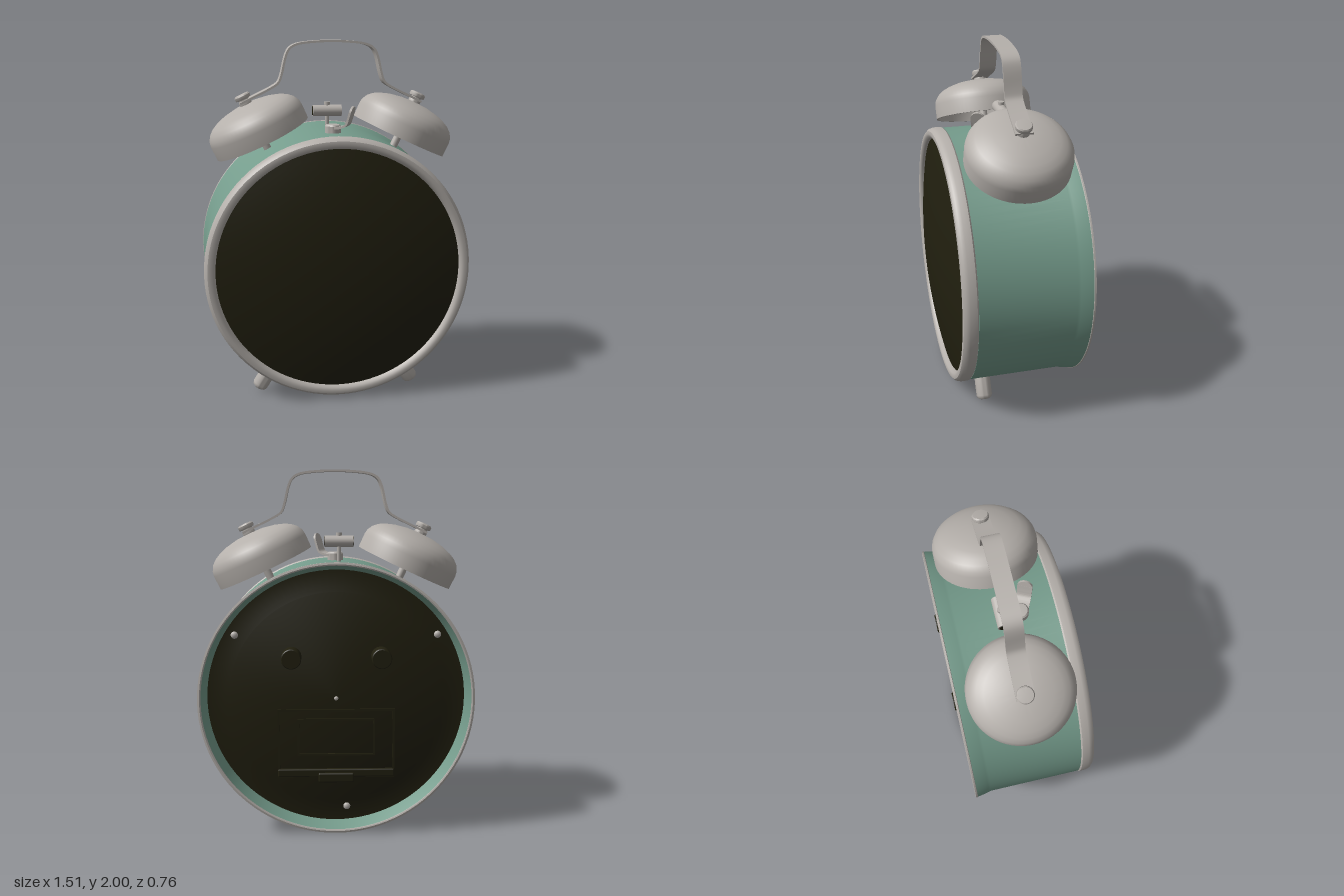
import * as THREE from 'three';
import { toCreasedNormals } from 'three/addons/utils/BufferGeometryUtils.js';
import { RoundedBoxGeometry } from 'three/addons/geometries/RoundedBoxGeometry.js';

const mat = (name, color) => {
  const m = new THREE.MeshStandardMaterial({ color });
  m.name = name;
  return m;
};

export function createModel() {
  const metal = mat('warm grey metal', 0xb5b0ab);
  const green = mat('sage green', 0x759c8c);
  const dark = mat('dark olive', 0x211f0f);
  const CY = 0.757; // height of the case centre
  const BELL_Z = -0.036;

  const root = new THREE.Group();
  root.name = 'alarmClock';

  function add(name, geo, material, parent = root, x = 0, y = 0, z = 0) {
    const m = new THREE.Mesh(geo, material);
    m.name = name;
    m.position.set(x, y, z);
    parent.add(m);
    return m;
  }
  // Lathe from [radius, height] pairs, keeping sharp edges
  function lathe(pts, seg = 48, crease = 0.6) {
    const g = new THREE.LatheGeometry(pts.map(p => new THREE.Vector2(p[0], p[1])), seg);
    return toCreasedNormals(g, crease);
  }
  const latheZ = (pts, seg = 96) => lathe(pts, seg).rotateX(Math.PI / 2);
  const cyl = (r, h, seg = 24) => new THREE.CylinderGeometry(r, r, h, seg);
  // Strip of constant thickness along a side-on path, given a width in z
  function strip(points, thick, width) {
    const curve = new THREE.CatmullRomCurve3(points.map(p => new THREE.Vector3(p[0], p[1], 0)), false, 'centripetal');
    const n = 64, outer = [], inner = [];
    for (let i = 0; i <= n; i++) {
      const p = curve.getPoint(i / n), t = curve.getTangent(i / n);
      outer.push(new THREE.Vector2(p.x - t.y * thick / 2, p.y + t.x * thick / 2));
      inner.unshift(new THREE.Vector2(p.x + t.y * thick / 2, p.y - t.x * thick / 2));
    }
    const g = new THREE.ExtrudeGeometry(new THREE.Shape([...outer, ...inner]), { depth: width, bevelEnabled: false });
    return toCreasedNormals(g.translate(0, 0, -width / 2), 0.6);
  }

  // Case: flared shell, rims, glass and back
  const body = new THREE.Group();
  body.name = 'case';
  body.position.y = CY;
  root.add(body);
  add('shell', latheZ([[0.70, -0.25], [0.713, -0.3], [0.738, -0.368], [0.753, -0.368], [0.75, -0.345],
    [0.74, -0.295], [0.736, -0.28], [0.736, 0.25], [0.66, 0.25]]), green, body);
  add('backRim', latheZ([[0.737, -0.36], [0.737, -0.373], [0.744, -0.376], [0.755, -0.373], [0.755, -0.364], [0.75, -0.36]]), metal, body);
  add('frontBezel', latheZ([[0.69, 0.25], [0.734, 0.25], [0.741, 0.258], [0.741, 0.295], [0.735, 0.315], [0.722, 0.328],
    [0.705, 0.331], [0.69, 0.326], [0.681, 0.315], [0.677, 0.29]]), metal, body);
  const dome = [];
  for (let i = 0; i <= 14; i++) {
    const r = 0.685 * (1 - i / 14);
    dome.push([r, 0.381 - 0.08 * (r / 0.685) ** 2]);
  }
  add('glass', latheZ(dome), dark, body);
  add('backPlate', latheZ([[0, -0.3], [0.59, -0.3], [0.615, -0.29], [0.71, -0.287]]), dark, body);

  // Back controls and fixings
  for (const s of [-1, 1]) {
    add('settingKnob', latheZ([[0, -0.383], [0.05, -0.383], [0.055, -0.377], [0.055, -0.29]].map(p => [p[0], p[1]]), 32),
      dark, body, s * 0.245, 0.235, 0);
  }
  for (const [x, y, r] of [[0.553, 0.356, 0.02], [-0.553, 0.356, 0.02], [-0.06, -0.625, 0.02], [0, 0, 0.012]]) {
    add('screw', new THREE.SphereGeometry(r, 16, 10).scale(1, 1, 0.7), metal, body, x, y, -0.3);
  }
  // Battery door: frame, raised panel, lower ledge and latch
  function frame(w, h, t) {
    const s = new THREE.Shape(), k = new THREE.Path();
    const rect = (p, a, b) => p.moveTo(-a, -b).lineTo(a, -b).lineTo(a, b).lineTo(-a, b).closePath();
    rect(s, w / 2, h / 2);
    rect(k, w / 2 - t, h / 2 - t);
    s.holes.push(k);
    return new THREE.ExtrudeGeometry(s, { depth: 0.012, bevelEnabled: false });
  }
  add('doorFrame', frame(0.65, 0.39, 0.012), dark, body, 0, -0.255, -0.31);
  add('doorPanel', frame(0.43, 0.21, 0.01), dark, body, 0, -0.22, -0.31);
  add('doorLedge', new RoundedBoxGeometry(0.65, 0.045, 0.03, 2, 0.008), dark, body, 0, -0.425, -0.303);
  add('doorLatch', new RoundedBoxGeometry(0.2, 0.055, 0.05, 2, 0.01), dark, body, 0, -0.45, -0.305);

  // Bells with posts and nuts, and feet, mirrored
  const bellGeo = lathe([[0, 0.195], [0.09, 0.19], [0.165, 0.175], [0.225, 0.15], [0.262, 0.115], [0.274, 0.08], [0.274, 0],
    [0.283, 0], [0.284, 0.08], [0.279, 0.108], [0.262, 0.138], [0.235, 0.162], [0.2, 0.18], [0.15, 0.197], [0.08, 0.21], [0, 0.214]], 64, 0.7);
  const nutGeo = lathe([[0, 0.205], [0.034, 0.205], [0.036, 0.225], [0.03, 0.238], [0.03, 0.243], [0.043, 0.245],
    [0.045, 0.25], [0.045, 0.264], [0.04, 0.271], [0, 0.274]], 32);
  const footGeo = lathe([[0, -0.862], [0.025, -0.861], [0.039, -0.853], [0.045, -0.838], [0.045, -0.7]], 32, 0.8);
  for (const s of [-1, 1]) {
    const bell = new THREE.Group();
    bell.name = s > 0 ? 'leftBell' : 'rightBell';
    bell.position.set(s * 0.392, 1.455, BELL_Z);
    bell.rotation.z = -s * 0.435;
    root.add(bell);
    add('bellCup', bellGeo, metal, bell);
    add('bellPost', cyl(0.022, 0.33), metal, bell, 0, 0.05, 0);
    add('bellNut', nutGeo, metal, bell);
    const foot = add('foot', footGeo, metal, root, 0, CY, 0.16);
    foot.rotation.z = s * 0.555;
  }

  // Carrying handle: bent flat strip between the bells
  const half = [[-0.515, 1.652], [-0.46, 1.68], [-0.335, 1.742], [-0.3, 1.768], [-0.283, 1.81], [-0.257, 1.915],
    [-0.235, 1.955], [-0.195, 1.977], [-0.1, 1.99]];
  const path = [...half, [0, 1.994], ...half.map(p => [-p[0], p[1]]).reverse()];
  add('handle', strip(path, 0.012, 0.096), metal, root, 0, 0, BELL_Z);

  // Striker between the bells
  const striker = new THREE.Group();
  striker.name = 'striker';
  striker.position.set(-0.022, 0, -0.05);
  root.add(striker);
  add('strikerStem', cyl(0.012, 0.18, 16), metal, striker, 0, 1.56, 0);
  add('strikerCap', cyl(0.017, 0.016, 16), metal, striker, 0, 1.646, 0);
  add('strikerHead', cyl(0.032, 0.164).rotateZ(Math.PI / 2), metal, striker, 0, 1.605, 0);
  for (const s of [-1, 1]) {
    add('strikerTip', cyl(0.025, 0.004).rotateZ(Math.PI / 2), dark, striker, s * 0.082, 1.605, 0);
  }

  // Stop lever: round base with an upturned tab
  const lever = new THREE.Group();
  lever.name = 'stopLever';
  lever.position.set(-0.003, 0, 0.06);
  lever.rotation.y = -0.45;
  root.add(lever);
  add('leverBase', lathe([[0, 1.48], [0.045, 1.48], [0.045, 1.53], [0.038, 1.538], [0, 1.541]], 32), metal, lever);
  add('leverTab', strip([[0, 1.522], [0.05, 1.524], [0.085, 1.54], [0.1, 1.575], [0.11, 1.61]], 0.012, 0.08), metal, lever);
  const tip = add('leverTip', cyl(0.04, 0.012).rotateZ(Math.PI / 2), metal, lever, 0.109, 1.604, 0);
  tip.rotation.z = -0.27;

  return root;
}
